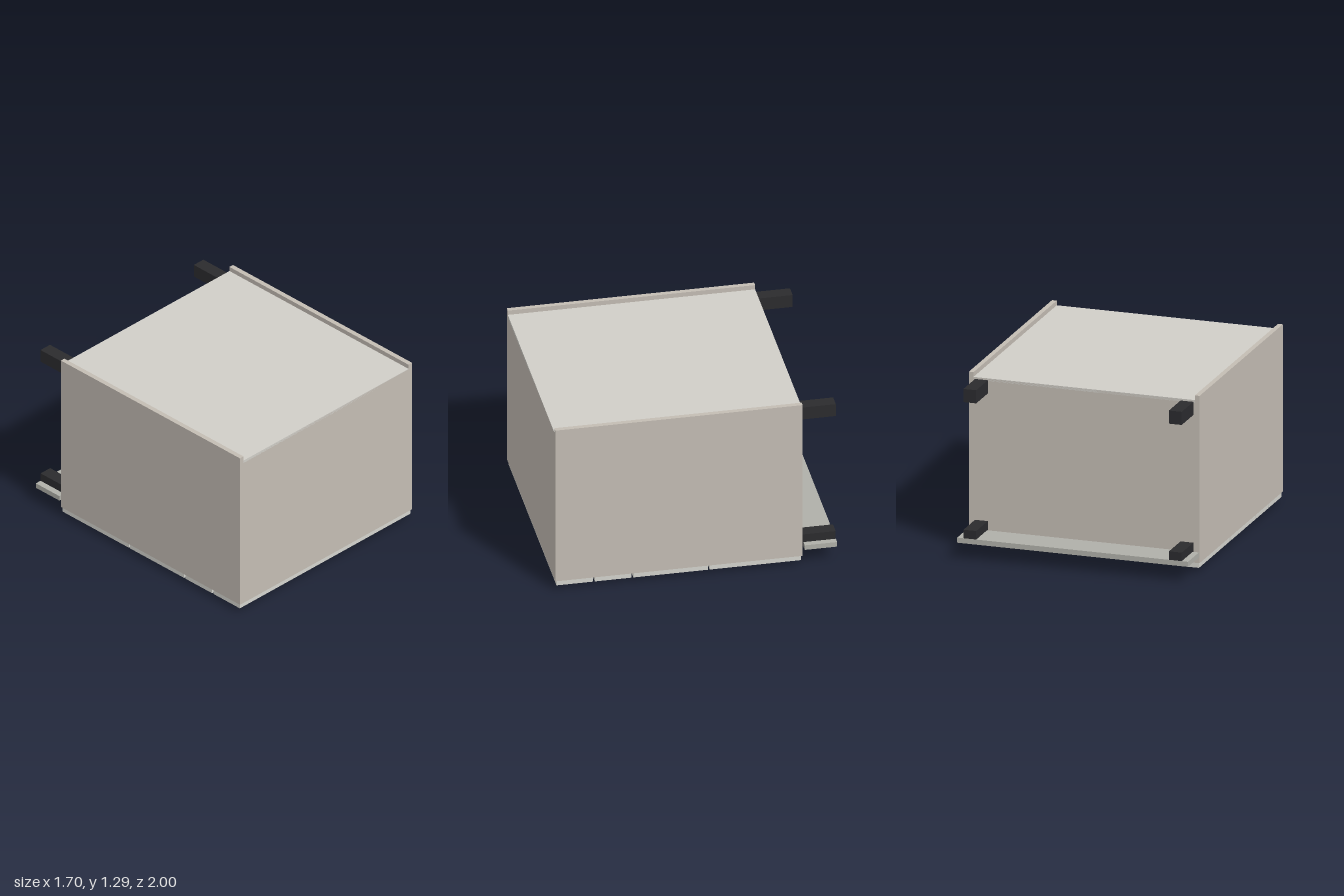
import * as THREE from 'three';

const mat = (color) => new THREE.MeshStandardMaterial({ color });

// A chest of drawers lying on its drawer fronts, legs pointing to -z.
export function createModel() {
  const model = new THREE.Group();
  model.name = 'chestOfDrawers';
  const carcass = mat(0xc4bdb4);
  const panel = mat(0xd0cec8);
  const front = mat(0xd4d4ce);
  const plinth = mat(0xb0b0a9);
  const dark = mat(0x2b2b2e);
  const metal = mat(0x85878a);

  // Box given by its extents along each axis
  function box(name, material, [x0, x1], [y0, y1], [z0, z1]) {
    const mesh = new THREE.Mesh(new THREE.BoxGeometry(x1 - x0, y1 - y0, z1 - z0), material);
    mesh.position.set((x0 + x1) / 2, (y0 + y1) / 2, (z0 + z1) / 2);
    mesh.name = name;
    model.add(mesh);
    return mesh;
  }

  // Carcass: two sides, top and bottom boards, recessed back
  const inner = [-0.815, 0.815];
  box('leftSide', carcass, [0.815, 0.85], [0.07, 1.29], [-0.755, 1]);
  box('rightSide', carcass, [-0.85, -0.815], [0.07, 1.29], [-0.755, 1]);
  box('topBoard', carcass, inner, [0.07, 1.253], [0.965, 1]);
  box('bottomBoard', carcass, inner, [0.07, 1.253], [-0.755, -0.72]);
  box('backPanel', panel, inner, [1.235, 1.256], [-0.755, 1]);

  // Dividers behind the gaps between drawers
  for (const z of [0.725, 0.45, -0.09]) {
    box('divider', carcass, inner, [0.07, 1.23], [z - 0.0175, z + 0.0175]);
  }

  // Pull handle: rounded bar standing off the drawer front
  const r = 0.014, h = 0.117 - r;
  const outline = new THREE.Shape();
  outline.absarc(h, 0, r, -Math.PI / 2, Math.PI / 2, false);
  outline.absarc(-h, 0, r, Math.PI / 2, Math.PI * 1.5, false);
  outline.closePath();
  const handleGeometry = new THREE.ExtrudeGeometry(outline, {
    depth: 0.033, bevelEnabled: false, curveSegments: 8,
  });
  handleGeometry.rotateX(-Math.PI / 2);

  // Drawer fronts: z range and handle position
  const drawers = [
    [0.73, 0.99, 0.862],
    [0.457, 0.718, 0.585],
    [-0.085, 0.445, 0.182],
    [-0.745, -0.097, -0.277],
  ];
  for (const [z0, z1, handleZ] of drawers) {
    box('drawerFront', front, [-0.842, 0.842], [0.032, 0.07], [z0, z1]);
    const handle = new THREE.Mesh(handleGeometry, metal);
    handle.position.z = handleZ;
    handle.name = 'handle';
    model.add(handle);
  }

  // Four square legs and the plinth rail across the front pair
  for (const side of [-1, 1]) {
    const x = [side * 0.757 - 0.047, side * 0.757 + 0.047];
    box('backLeg', dark, x, [1.146, 1.242], [-1, -0.755]);
    box('frontLeg', dark, x, [0.12, 0.215], [-0.999, -0.755]);
  }
  box('plinthRail', plinth, [-0.85, 0.85], [0.116, 0.153], [-1, -0.77]);

  return model;
}
